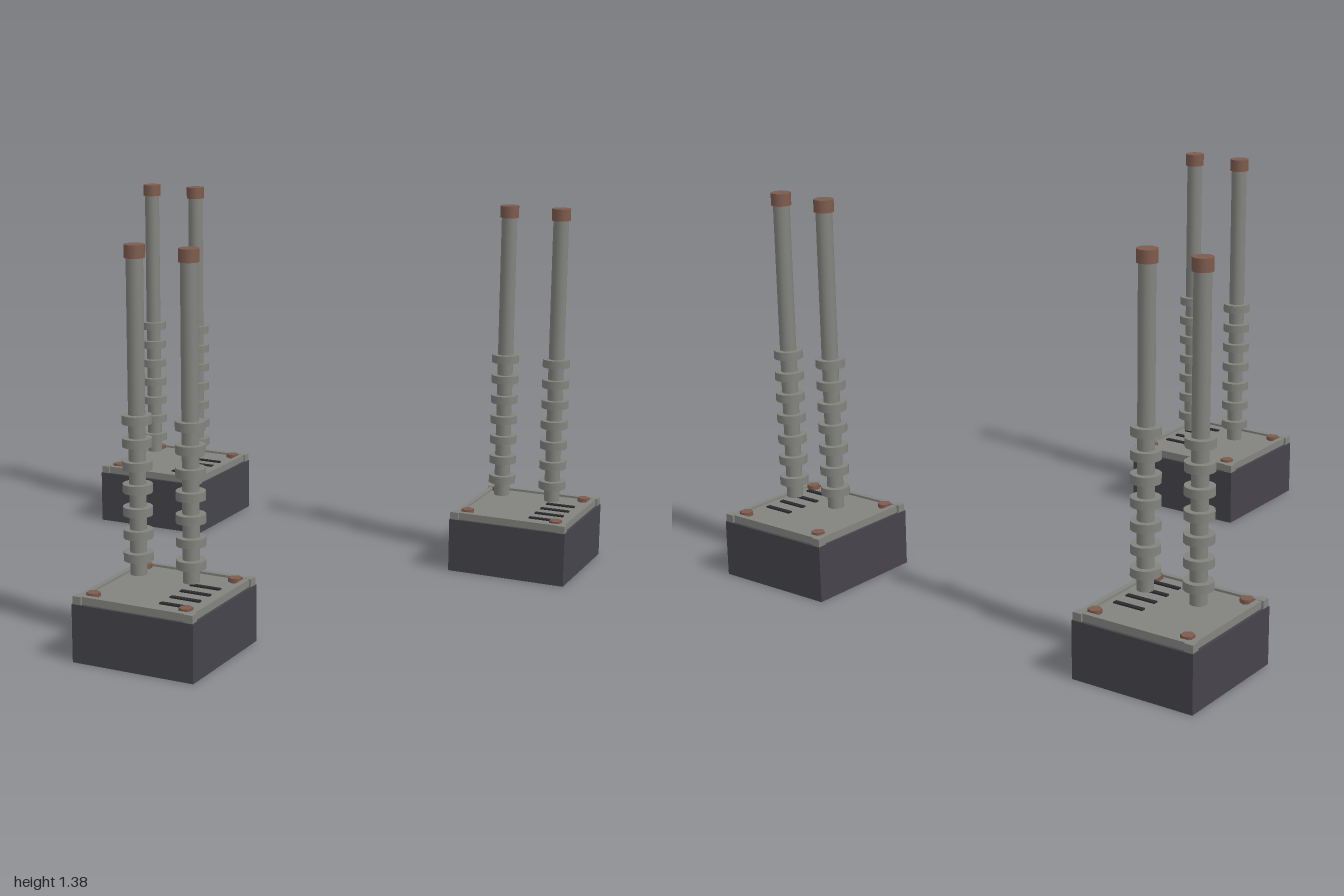
import * as THREE from 'three';

const mat = (name, color) => {
  const m = new THREE.MeshStandardMaterial({ color });
  m.name = name;
  return m;
};

export function createModel() {
  const housingMat = mat('dark housing', 0x46444b);
  const steel = mat('grey steel', 0x83837f);
  const copper = mat('brown copper', 0x7d5b4d);
  const slotMat = mat('vent black', 0x2b2a2e);

  const add = (parent, name, geo, material, x, y, z) => {
    const mesh = new THREE.Mesh(geo, material);
    mesh.name = name;
    mesh.position.set(x, y, z);
    parent.add(mesh);
    return mesh;
  };
  const box = (w, h, d) => new THREE.BoxGeometry(w, h, d);
  const cyl = (r, h, n = 16) => new THREE.CylinderGeometry(r, r, h, n);

  // One electrode: rod, seven insulator rings and an end cap
  const makeElectrode = () => {
    const g = new THREE.Group();
    g.name = 'electrode';
    add(g, 'rod', cyl(0.029, 1.085), steel, 0, 0.8045, 0);
    for (let i = 0; i < 7; i++) {
      add(g, 'insulatorRing', cyl(0.051, 0.03), steel, 0, 0.327 + i * 0.079, 0);
    }
    add(g, 'endCap', cyl(0.035, 0.044), copper, 0, 1.363, 0);
    return g;
  };

  // One unit: housing, trimmed lid, bolts, vents and two electrodes
  const makeUnit = () => {
    const g = new THREE.Group();
    g.name = 'unit';
    add(g, 'housing', box(0.457, 0.204, 0.457), housingMat, 0, 0.102, 0);
    add(g, 'lid', box(0.41, 0.02, 0.41), steel, 0, 0.213, 0);

    for (const s of [-1, 1]) {
      add(g, 'sideRail', box(0.02, 0.028, 0.4), steel, s * 0.208, 0.217, 0);
      add(g, 'endRail', box(0.4, 0.028, 0.02), steel, 0, 0.217, s * 0.208);
      for (const t of [-1, 1]) {
        add(g, 'cornerBlock', box(0.032, 0.03, 0.032), steel, s * 0.21, 0.217, t * 0.21);
        add(g, 'bolt', cyl(0.024, 0.02, 6), copper, s * 0.175, 0.228, t * 0.175);
      }
      const electrode = makeElectrode();
      electrode.position.x = s * 0.101;
      g.add(electrode);
    }

    // Vent slots beside the left electrode
    for (let i = 0; i < 4; i++) {
      add(g, 'ventSlot', box(0.112, 0.006, 0.017), slotMat, 0.116, 0.225, -0.07 + i * 0.07);
    }
    return g;
  };

  const model = new THREE.Group();
  model.name = 'electrodeArray';
  for (const [x, z] of [[-0.7715, -0.7465], [0.7715, -0.7465], [0.009, 0.7465]]) {
    const unit = makeUnit();
    unit.position.set(x, 0, z);
    model.add(unit);
  }
  return model;
}
